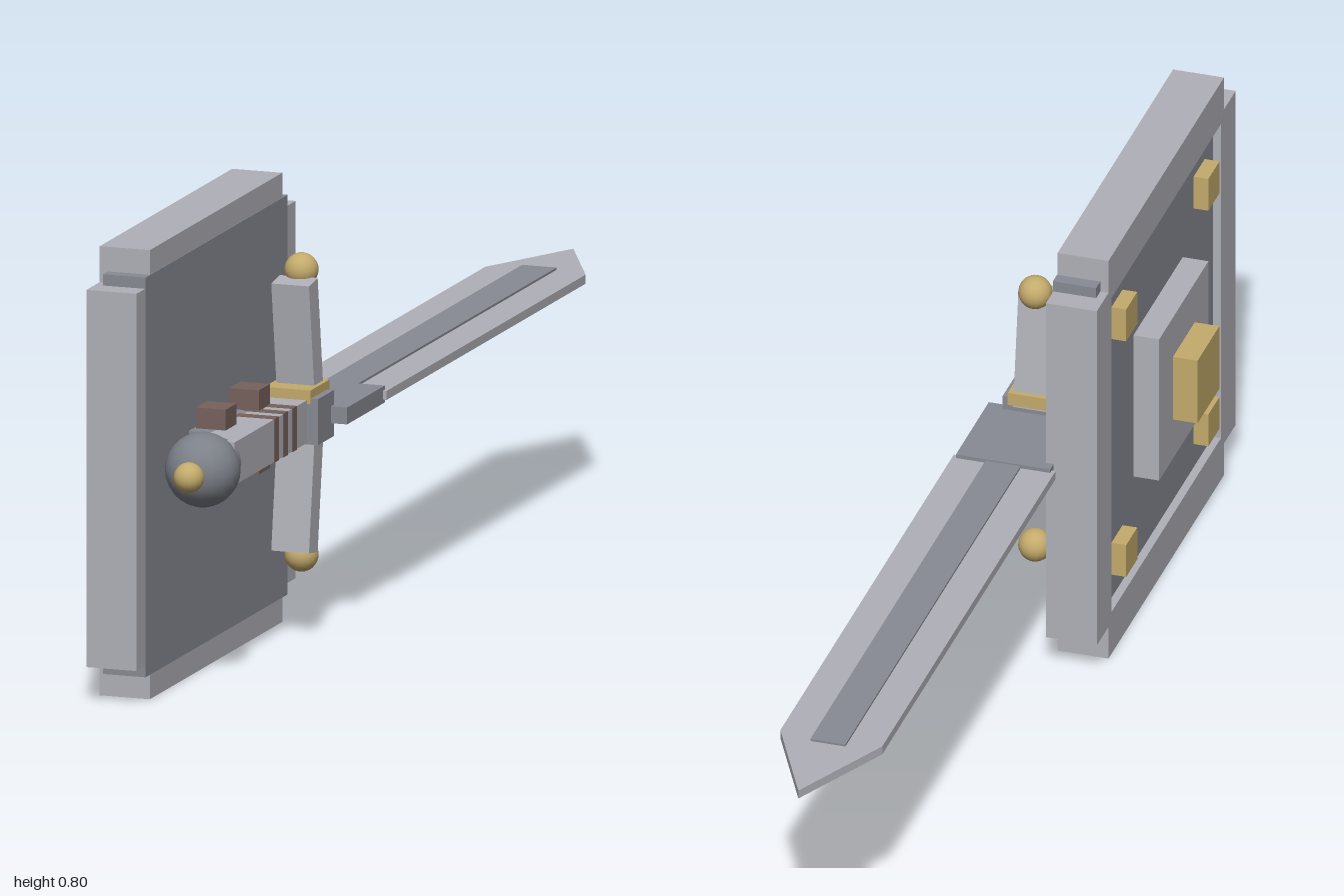
import * as THREE from 'three';

export function createModel() {
  const root = new THREE.Group();
  root.name = 'swordAndShield';

  const material = (name, color) => {
    const m = new THREE.MeshStandardMaterial({ color });
    m.name = name;
    return m;
  };
  const steel = material('light steel', 0xb0b1b8);
  const iron = material('dark iron', 0x888b94);
  const pommelGrey = material('pommel grey', 0x7c8088);
  const gold = material('gold', 0xc4ab6c);
  const leather = material('brown leather', 0x76625c);

  const add = (parent, name, geometry, mat, x = 0, y = 0, z = 0) => {
    const mesh = new THREE.Mesh(geometry, mat);
    mesh.name = name;
    mesh.position.set(x, y, z);
    parent.add(mesh);
    return mesh;
  };
  // box given by its extents on each axis
  const box = (parent, name, mat, [x0, x1], [y0, y1], [z0, z1]) =>
    add(parent, name, new THREE.BoxGeometry(x1 - x0, y1 - y0, z1 - z0), mat,
      (x0 + x1) / 2, (y0 + y1) / 2, (z0 + z1) / 2);
  const around = (c, half) => [c - half, c + half];

  // ---- shield, its outer face towards -x ----
  const shield = new THREE.Group();
  shield.name = 'shield';
  root.add(shield);
  const CY = 0.4, CZ = 0.6;
  box(shield, 'shieldPanel', iron, [-0.078, 0.001], around(CY, 0.356), around(CZ, 0.357));
  for (const s of [-1, 1]) {
    box(shield, 'rimSide', steel, [-0.093, 0], around(CY, 0.336), around(CZ + s * 0.358, 0.042));
    box(shield, 'rimBar', steel, [-0.0929, 0], around(CY + s * 0.358, 0.042), around(CZ, 0.333));
    for (const t of [-1, 1])
      box(shield, 'cornerStud', gold, [-0.105, -0.07],
        around(CY + s * 0.237, 0.032), around(CZ + t * 0.237, 0.032));
  }
  box(shield, 'bossPlate', steel, [-0.125, -0.07], around(CY, 0.142), around(CZ, 0.142));
  box(shield, 'boss', gold, [-0.17, -0.12], around(CY, 0.063), around(CZ, 0.063));

  // handle bar and straps that hold the sword against the shield
  box(shield, 'shieldHandle', iron, [0, 0.042], around(CY, 0.038), [0.45, 0.74]);
  for (const z of [0.52, 0.687])
    box(shield, 'strap', leather, [0.005, 0.06], around(CY, 0.075), around(z, 0.028));

  // ---- sword, pointing towards -z ----
  const sword = new THREE.Group();
  sword.name = 'sword';
  sword.position.set(0.072, CY, 0);
  root.add(sword);

  // blade outline, laid flat
  const outline = new THREE.Shape([
    [-0.093, -0.19], [0.093, -0.19], [0.093, 0.81], [0, 1], [-0.093, 0.81],
  ].map(([x, y]) => new THREE.Vector2(x, y)));
  const blade = new THREE.ExtrudeGeometry(outline, { depth: 0.016, bevelEnabled: false });
  blade.rotateX(-Math.PI / 2);
  blade.translate(0, -0.008, 0);
  add(sword, 'blade', blade, steel);
  box(sword, 'bladeRidge', iron, around(0, 0.032), around(0, 0.012), [-0.83, 0.2]);
  box(sword, 'bladeCollar', iron, around(0, 0.086), around(0, 0.015), [0.18, 0.37]);

  // guard
  box(sword, 'guardBlock', iron, around(0, 0.056), around(0, 0.041), [0.355, 0.435]);
  box(sword, 'guardPlate', gold, around(0, 0.043), [0.032, 0.056], [0.343, 0.437]);
  for (const s of [-1, 1]) {
    const arm = add(sword, 'guardArm', new THREE.BoxGeometry(0.07, 0.22, 0.044), steel,
      0, s * 0.132, 0.386);
    arm.rotation.x = s * 0.14;
    add(sword, 'guardBall', new THREE.SphereGeometry(0.03, 16, 12), gold, 0, s * 0.254, 0.366);
  }

  // grip with leather wraps
  box(sword, 'grip', steel, around(0, 0.036), around(0, 0.038), [0.42, 0.8]);
  for (let i = 0; i < 3; i++)
    box(sword, 'gripWrap', leather, around(0, 0.037), around(0, 0.039), around(0.5 + i * 0.045, 0.011));

  // pommel
  const collar = new THREE.CylinderGeometry(0.043, 0.043, 0.03, 16);
  collar.rotateX(Math.PI / 2);
  add(sword, 'pommelCollar', collar, pommelGrey, 0, 0, 0.8);
  add(sword, 'pommel', new THREE.SphereGeometry(0.066, 20, 14), pommelGrey, 0, 0, 0.862);
  add(sword, 'pommelTip', new THREE.SphereGeometry(0.027, 16, 12), gold, 0, 0, 0.932);

  return root;
}
